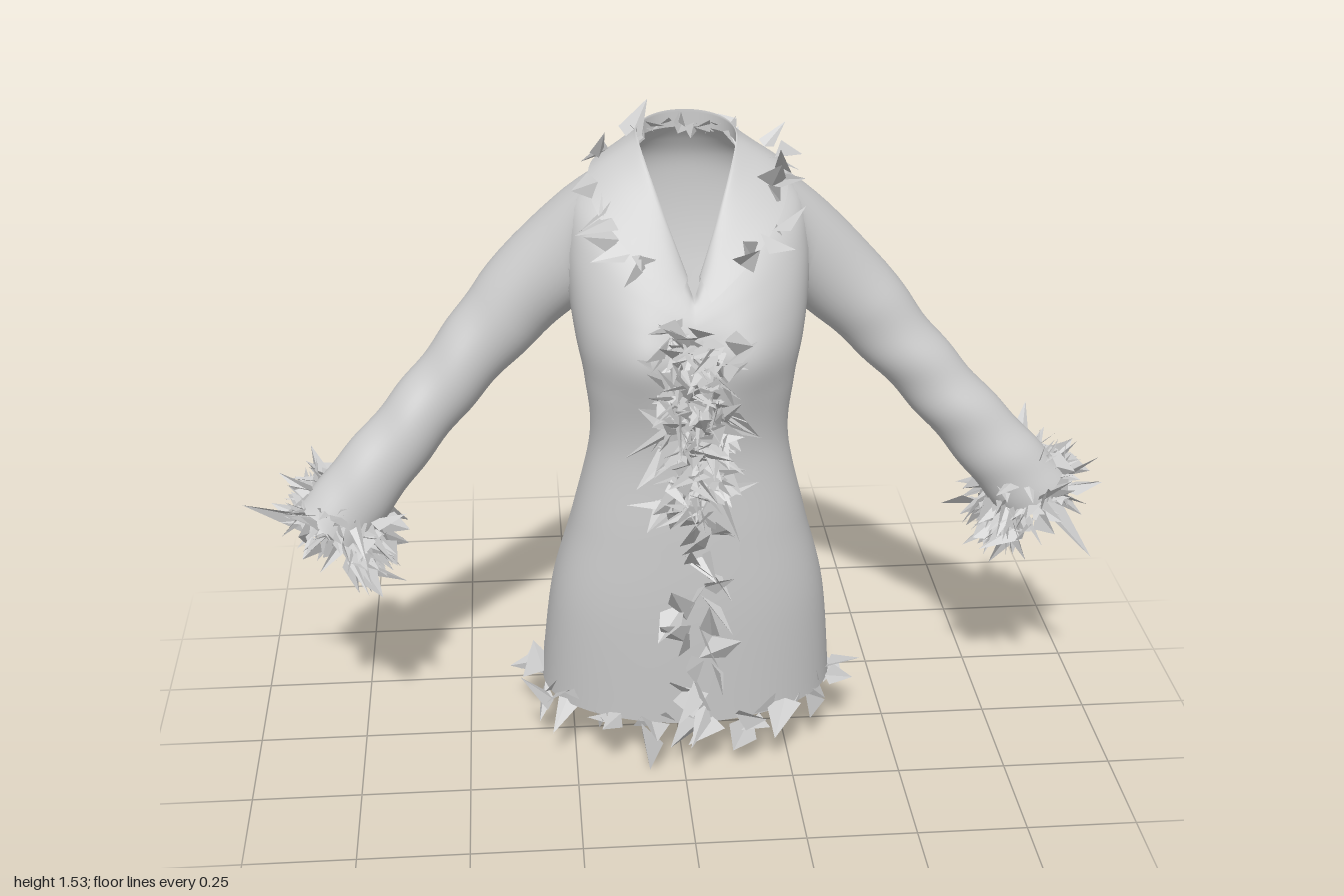
import * as THREE from 'three';

const CX = 0.022; // the garment sits slightly off centre
const TAU = Math.PI * 2;
const V = (x, y, z) => new THREE.Vector3(x, y, z);
const cloth = new THREE.MeshStandardMaterial({ color: 0xcccccc, side: THREE.DoubleSide });
const fur = new THREE.MeshStandardMaterial({ color: 0xcccccc, side: THREE.DoubleSide, flatShading: true });

let seed = 7;
const rnd = (a = 0, b = 1) => {
  seed = (seed * 16807) % 2147483647;
  return a + (b - a) * seed / 2147483647;
};
const jitter = k => V(rnd(-k, k), rnd(-k, k), rnd(-k, k));

// Catmull-Rom interpolation of rows of numbers, t from 0 to 1
function sample(rows, t) {
  const n = rows.length - 1, f = Math.min(Math.max(t, 0), 1) * n;
  const i = Math.min(Math.floor(f), n - 1), u = f - i;
  const [a, b, c, d] = [i - 1, i, i + 1, i + 2].map(k => rows[Math.min(Math.max(k, 0), n)]);
  return b.map((p, k) => p + 0.5 * u * (c[k] - a[k]
    + u * (2 * a[k] - 5 * p + 4 * c[k] - d[k] + u * (3 * (p - c[k]) + d[k] - a[k]))));
}

// Smooth sheet through points made by fn(u, v); cells where hole(u, v) is true stay open
function sheet(name, fn, nu, nv, closed, hole = () => false) {
  const pos = [], idx = [], cols = closed ? nu : nu + 1;
  for (let r = 0; r <= nv; r++)
    for (let i = 0; i < cols; i++) pos.push(...fn(i / nu, r / nv).toArray());
  for (let r = 0; r < nv; r++)
    for (let i = 0; i < nu; i++) {
      if (hole((i + 0.5) / nu, (r + 0.5) / nv)) continue;
      const a = r * cols + i, b = r * cols + (i + 1) % cols;
      idx.push(a, b, a + cols, b, b + cols, a + cols);
    }
  const g = new THREE.BufferGeometry();
  g.setAttribute('position', new THREE.Float32BufferAttribute(pos, 3));
  g.setIndex(idx);
  g.computeVertexNormals();
  const m = new THREE.Mesh(g, cloth);
  m.name = name;
  return m;
}

// Body rings: yFront, ySide, yBack, halfWidth, zFront, zBack, neckline V amount
const bodyRings = [
  [0.12, 0.14, 0.12, 0.345, 0.19, -0.30, 0],
  [0.40, 0.40, 0.40, 0.318, 0.205, -0.215, 0],
  [0.60, 0.60, 0.60, 0.268, 0.205, -0.155, 0],
  [0.80, 0.80, 0.80, 0.224, 0.20, -0.125, 0],
  [0.95, 0.95, 0.95, 0.234, 0.222, -0.14, 0],
  [1.04, 1.05, 1.05, 0.252, 0.23, -0.165, 0],
  [1.09, 1.15, 1.15, 0.265, 0.22, -0.19, 0.06],
  [1.12, 1.25, 1.24, 0.268, 0.21, -0.205, 0.2],
  [1.14, 1.335, 1.32, 0.255, 0.20, -0.21, 0.35],
  [1.155, 1.39, 1.375, 0.205, 0.19, -0.205, 0.45],
  [1.165, 1.425, 1.42, 0.15, 0.18, -0.185, 0.5],
  [1.17, 1.45, 1.455, 0.108, 0.165, -0.16, 0.5],
];
const soft = (x, p) => Math.sign(x) * Math.abs(x) ** p;

function bodyPoint(a, v) {
  const [yf, ys, yb, w, zf, zb, m] = sample(bodyRings, v);
  const s = Math.sin(a), c = Math.cos(a), zc = (zf + zb) / 2 - 0.1 * m;
  const vee = 1 - Math.abs(s);
  const y = c > 0 ? ys + (yf - ys) * vee : ys + (yb - ys) * -c;
  const front = soft(Math.max(c, 0), 0.8) * (1 - m) + vee * m;
  let x = w * soft(s, 0.9 + 0.2 * m), z = c > 0 ? zc + (zf - zc) * front : zc + (zb - zc) * soft(-c, 0.85);
  // side pleats below the waist, bust and waist folds
  const turn = Math.abs(Math.atan2(s, c));
  const pleat = 0.1 * Math.exp(-(((turn - 1.9) / 0.07) ** 2)) * Math.max(0, 1 - y / 0.72) ** 0.4;
  x *= 1 - pleat;
  z = zc + (z - zc) * (1 - pleat);
  if (c > 0) z += 0.02 * Math.exp(-(((Math.abs(x) - 0.12) / 0.07) ** 2) - ((y - 1.04) / 0.09) ** 2);
  else z += 0.006 * Math.sin(y * 45 + Math.abs(x) * 22) * -c * Math.exp(-(((y - 0.8) / 0.16) ** 2));
  return V(x + CX, y, z);
}

// Armhole: an oval on the body surface, in ring angle and height
const ARM = { a: 1.8, v: 7.15 / 11, da: 0.58, dv: 1.75 / 11 };
const inArmhole = (u, v) => {
  const turn = Math.PI - Math.abs(u * TAU - Math.PI);
  return Math.hypot((turn - ARM.a) / ARM.da, (v - ARM.v) / ARM.dv) < 0.86;
};

// Sleeve rings: x, y, z, radius across, radius in depth
const sleeveRings = [
  [0.24, 1.235, -0.09, 0.13, 0.112],
  [0.37, 1.10, -0.083, 0.102, 0.093],
  [0.50, 0.955, -0.065, 0.083, 0.082],
  [0.62, 0.82, -0.04, 0.08, 0.078],
  [0.735, 0.69, -0.015, 0.086, 0.075],
  [0.81, 0.60, -0.005, 0.09, 0.075],
];
function sleevePoint(side, a, v) {
  const q = sample(sleeveRings, v), p0 = sample(sleeveRings, v - 0.02), p1 = sample(sleeveRings, v + 0.02);
  const lean = (side < 0 ? 0.045 : 0) * v * v;
  const t = V(side * (p1[0] - p0[0]), p1[1] - p0[1], 0).normalize();
  const n1 = V(0, 0, 1), n2 = t.clone().cross(n1);
  const fold = 1 + 0.03 * Math.sin(v * 34 + 2 * Math.sin(a)) * Math.sin(v * Math.PI);
  const tube = V(side * q[0] + CX, q[1], q[2] + lean)
    .addScaledVector(n1, Math.cos(a) * q[4] * fold).addScaledVector(n2, Math.sin(a) * q[3] * fold);
  // the sleeve grows out of the armhole oval
  const hole = bodyPoint(side * (ARM.a - ARM.da * Math.cos(a)), ARM.v - side * ARM.dv * Math.sin(a));
  return hole.lerp(tube, THREE.MathUtils.smoothstep(v, -0.03, 0.24) * Math.min(1, v * 12));
}

// Crumpled fur tuft: two folded triangles sharing a ridge from root to tip
function tuft(out, root, dir, len, wide) {
  const d = dir.clone().normalize(), tip = root.clone().addScaledVector(d, len);
  const side = jitter(1).cross(d).normalize(), lift = side.clone().cross(d);
  const mid = root.clone().addScaledVector(d, len * rnd(0, 0.45));
  const p = mid.clone().addScaledVector(side, wide);
  const q = mid.clone().addScaledVector(side, -wide * 0.6).addScaledVector(lift, wide * rnd(0.3, 1));
  for (const k of [root, p, tip, root, tip, q]) out.push(k.x, k.y, k.z);
}
function furMesh(name, fill) {
  const pos = [];
  fill(pos);
  const g = new THREE.BufferGeometry();
  g.setAttribute('position', new THREE.Float32BufferAttribute(pos, 3));
  g.computeVertexNormals();
  const m = new THREE.Mesh(g, fur);
  m.name = name;
  return m;
}

export function createModel() {
  const model = new THREE.Group();
  model.name = 'furTrimmedCoat';

  model.add(sheet('coatBody', (u, v) => bodyPoint(u * TAU, v), 128, 99, true, inArmhole));

  // Collar: stands up from the neckline, then lies along the shoulders (k = 0 neck, 1 edge)
  const collarFall = (a, k) => {
    const c = Math.cos(a), edge = c > 0 ? 0.83 - 0.1 * c : 0.83 + 0.09 * -c;
    return bodyPoint(a, 1 + (edge - 1) * k).add(V(0.012 * Math.sin(a), 0.012, 0.014 * c));
  };
  model.add(sheet('collar', (u, v) => {
    const a = 0.12 + u * (TAU - 0.24), base = bodyPoint(a, 1), k = (v - 0.3) / 0.7;
    const top = base.clone().add(V(0, 0.015 + 0.025 * (1 - Math.cos(a)) / 2, 0));
    return k < 0 ? base.lerp(top, v / 0.3) : top.lerp(collarFall(a, k), Math.sqrt(k));
  }, 64, 20, false));

  // Sleeves with fur cuffs
  for (const side of [1, -1]) {
    const label = side > 0 ? 'left' : 'right';
    model.add(sheet(label + 'Sleeve', (u, v) => sleevePoint(side, u * TAU, v), 40, 48, true));
    model.add(furMesh(label + 'CuffFur', out => {
      for (let i = 0; i < 200; i++) {
        const v = rnd(0.85, 1), a = rnd(0, TAU), p = sleevePoint(side, a, v);
        const axis = sleevePoint(side, 0, v).add(sleevePoint(side, Math.PI, v)).multiplyScalar(0.5);
        const dir = p.clone().sub(axis).normalize().add(jitter(0.9)).add(V(0, -0.35, -0.3));
        const root = p.lerp(axis, rnd(0, 0.25)).add(V(0, -rnd(0, 0.06), -rnd(0, 0.03)));
        tuft(out, root, dir, rnd(0.04, 0.115), rnd(0.015, 0.04));
      }
      // longest tufts
      if (side > 0) {
        tuft(out, V(0.86, 0.57, 0.0), V(0.12, -0.14, 0.02), 0.19, 0.035);
        tuft(out, V(0.9, 0.62, 0.0), V(0.08, 0.07, 0.02), 0.11, 0.035);
      } else tuft(out, V(-0.82, 0.62, 0.06), V(-0.17, 0.035, -0.02), 0.175, 0.05);
    }));
  }

  // Thick fur down the chest, thinner towards the hem
  model.add(furMesh('frontFur', out => {
    for (let i = 0; i < 210; i++) {
      const y = i % 2 ? rnd(0.7, 0.95) : rnd(0.88, 1.12);
      const root = V(CX + rnd(-0.06, 0.06), y, rnd(0.2, 0.26));
      tuft(out, root, V(rnd(-0.9, 0.9), rnd(-0.8, 0.8), rnd(0, 1)), rnd(0.05, 0.12), rnd(0.015, 0.04));
    }
    tuft(out, V(0.01, 0.85, 0.26), V(-0.01, 0.03, 0.14), 0.145, 0.03);
    for (let i = 0; i < 26; i++) {
      const root = V(CX + rnd(-0.03, 0.04), 0.17 + 0.52 * i / 26, rnd(0.2, 0.22));
      tuft(out, root, V(rnd(-0.6, 0.6), rnd(-1, 0.8), rnd(0, 0.6)), rnd(0.07, 0.12), rnd(0.025, 0.05));
    }
  }));

  // Ragged fur around the hem
  model.add(furMesh('hemFur', out => {
    for (let i = 0; i < 56; i++) {
      const a = (i + rnd(-0.4, 0.4)) / 56 * TAU, p = bodyPoint(a, rnd(0, 0.012));
      const dir = V(Math.sin(a) * 0.3, -0.2, Math.cos(a) * 0.3).add(jitter(0.8));
      tuft(out, p, dir, rnd(0.05, 0.1), rnd(0.025, 0.055));
    }
    tuft(out, V(-0.1, 0.12, 0.18), V(0.02, -0.12, 0.02), 0.12, 0.05);
    tuft(out, V(0.12, 0.15, -0.28), V(0.02, -0.04, -0.12), 0.125, 0.04);
    tuft(out, V(-0.3, 0.12, 0.06), V(-0.08, 0.08, 0.02), 0.11, 0.04);
  }));

  // Scattered tufts along the collar edge
  model.add(furMesh('collarFur', out => {
    for (let i = 0; i < 46; i++) {
      const a = 0.3 + (i + rnd()) / 46 * (TAU - 0.6), back = Math.cos(a) < -0.3;
      const dir = V(Math.sin(a) * 0.4, 0, Math.max(0, Math.cos(a)) * 0.5).add(jitter(0.8));
      const root = back ? bodyPoint(a, 1).add(V(0, 0.01, 0)) : collarFall(a, rnd(0.6, 1));
      tuft(out, root, dir, back ? rnd(0.02, 0.045) : rnd(0.06, 0.11), rnd(0.02, 0.04));
    }
    tuft(out, V(-0.1, 1.45, -0.08), V(0.04, 0.08, -0.03), 0.1, 0.035);
  }));

  return model;
}
